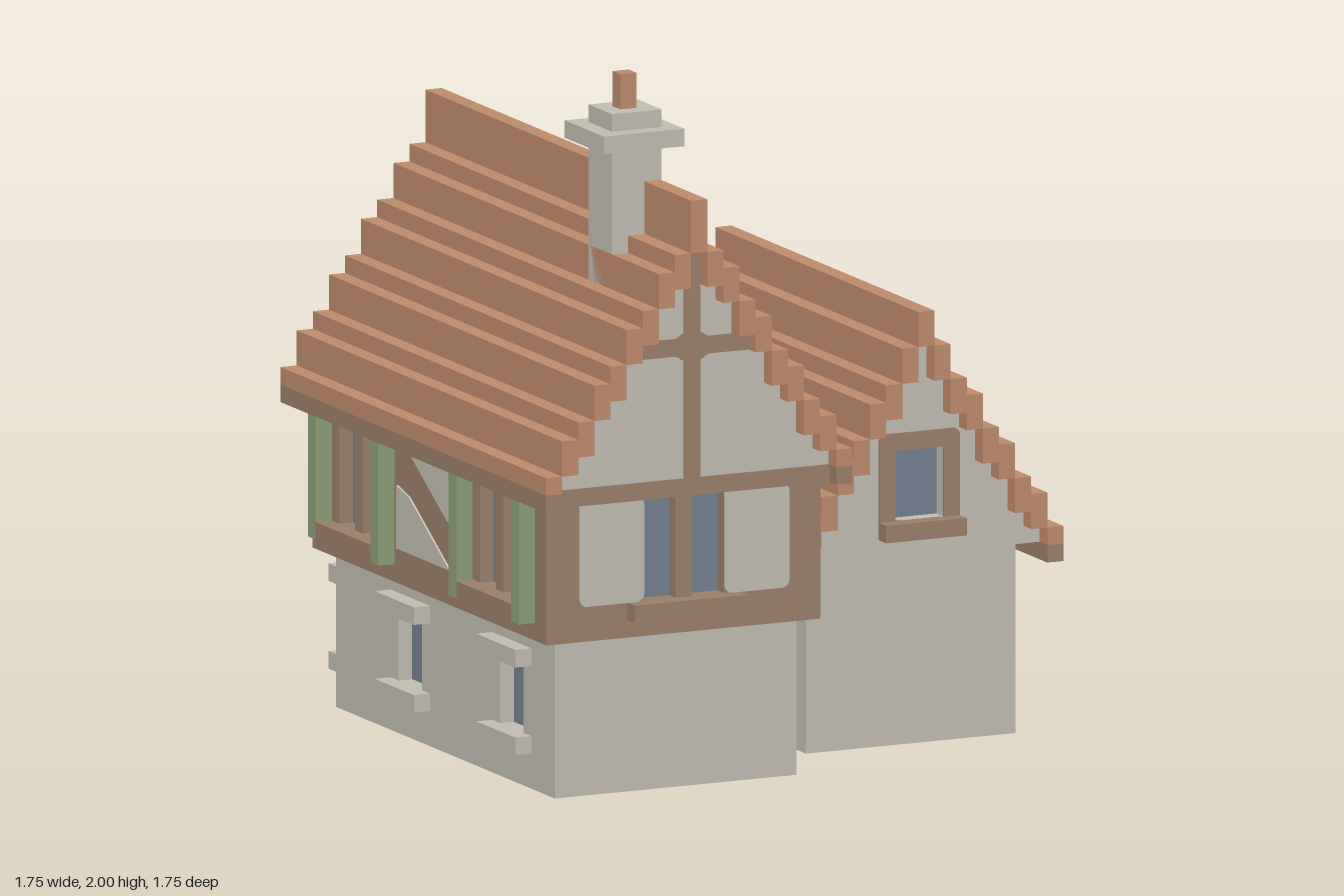
import * as THREE from 'three';

const mat = (name, color) => Object.assign(new THREE.MeshStandardMaterial({ color }), { name });
const plaster = mat('plaster', 0xc0bcb1);
const timber = mat('timber', 0x9a7e68);
const tile = mat('tile', 0xbd8a6b);
const glass = mat('glass', 0x737f8f);
const leaf = mat('leaf', 0x8b9d75);
const S = 0.05; // block size

function add(parent, name, geometry, material) {
  const m = new THREE.Mesh(geometry, material);
  m.name = name;
  parent.add(m);
  return m;
}

// box given by its extents
function box(parent, name, material, x0, x1, y0, y1, z0, z1) {
  const m = add(parent, name, new THREE.BoxGeometry(x1 - x0, y1 - y0, z1 - z0), material);
  m.position.set((x0 + x1) / 2, (y0 + y1) / 2, (z0 + z1) / 2);
  return m;
}

const poly = (pts) => new THREE.Shape(pts.map((p) => new THREE.Vector2(...p)));
const rect = (x0, x1, y0, y1) => poly([[x0, y0], [x1, y0], [x1, y1], [x0, y1]]);

// rectangle with rounded corners
function softRect(x0, x1, y0, y1, r = 0.022) {
  const s = new THREE.Shape();
  s.absarc(x1 - r, y0 + r, r, -Math.PI / 2, 0);
  s.absarc(x1 - r, y1 - r, r, 0, Math.PI / 2);
  s.absarc(x0 + r, y1 - r, r, Math.PI / 2, Math.PI);
  s.absarc(x0 + r, y0 + r, r, Math.PI, Math.PI * 1.5);
  return s;
}

function slab(parent, name, material, shape, depth, z, holes = []) {
  holes.forEach((h) => shape.holes.push(rect(...h)));
  const geo = new THREE.ExtrudeGeometry(shape, { depth, bevelEnabled: false, curveSegments: 4 });
  const m = add(parent, name, geo, material);
  m.position.z = z;
  return m;
}
const plate = (g, name, material, shape, holes) => slab(g, name, material, shape, 0.006, 0, holes);

// one side of a building: local +z points outwards, local z = 0 is the wall surface
function side(parent, name, rotY, x, z) {
  const g = new THREE.Group();
  g.name = name;
  g.position.set(x, 0, z);
  g.rotation.y = rotY;
  parent.add(g);
  return g;
}

// wall with recessed openings, each filled by a pane or door
function wall(g, material, shape, openings = []) {
  slab(g, 'wall', material, shape, S, -S, openings.map((o) => o.slice(0, 4)));
  for (const [x0, x1, y0, y1, fill = glass] of openings)
    box(g, fill === glass ? 'windowPane' : 'door', fill, x0, x1, y0, y1, -S, -S + 0.008);
}

const pair = (c, y0, y1) => [[c - 0.125, c - 0.025, y0, y1], [c + 0.025, c + 0.125, y0, y1]];
const sill = (g, c, half, y, m = timber) => box(g, 'sill', m, c - half, c + half, y, y + S, -0.01, S);

function shutters(g, c, inner, y0, y1) {
  for (const s of [-1, 1]) {
    const x = c + s * (inner + S / 2);
    box(g, 'shutter', leaf, x - S / 2, x + S / 2, y0, y1, -0.01, S);
  }
}

function stoneWindow(g, c) {
  sill(g, c, 0.125, 0.1, plaster);
  box(g, 'lintel', plaster, c - 0.125, c + 0.125, 0.35, 0.4, -0.01, S);
}

function doorway(g, c) {
  box(g, 'doorstep', plaster, c - 0.15, c + 0.15, 0, S, -0.01, S);
  box(g, 'lintel', plaster, c - 0.125, c + 0.125, 0.35, 0.4, -0.01, S);
  box(g, 'doorPane', glass, c - 0.04, c + 0.04, 0.22, 0.3, -S + 0.008, -S + 0.014);
}

// underside height of roof course i
const under = (tops, i) => (i === 0 ? tops[1] : tops[i] - 0.1);

function gableShape(tops, base) {
  const n = tops.length - 2;
  const pts = [[-(n + 0.5) * S, base]];
  for (let i = -n; i <= n; i++) {
    const y = under(tops, Math.abs(i));
    pts.push([(i - 0.5) * S, y], [(i + 0.5) * S, y]);
  }
  pts.push([(n + 0.5) * S, base]);
  return poly(pts);
}

// stepped roof courses with timber eaves
function roof(parent, name, tops, cx, z0, z1) {
  const g = new THREE.Group();
  g.name = name;
  parent.add(g);
  const n = tops.length - 1;
  for (let i = -n; i <= n; i++) {
    const k = Math.abs(i), x = cx + i * S;
    const low = k === n ? tops[k] - S : under(tops, k);
    box(g, 'roofCourse', tile, x - S / 2, x + S / 2, low, tops[k], z0, z1);
    if (k === n) box(g, 'eave', timber, x - S / 2, x + S / 2, low - S, low, z0, z1);
  }
}

function mainHouse(parent) {
  const g = new THREE.Group();
  g.name = 'mainHouse';
  parent.add(g);
  const cx = -0.4, cz = 0.025, Q = Math.PI / 2;

  // hollow stone ground floor
  box(g, 'groundCeiling', plaster, -0.775, -0.025, 0.44, 0.449, -0.675, 0.725);
  wall(side(g, 'groundFront', 0, cx, 0.725), plaster, rect(-0.375, 0.375, 0, 0.45));
  wall(side(g, 'groundRight', Q, -0.025, cz), plaster, rect(-0.65, 0.65, 0, 0.45));
  const gb = side(g, 'groundBack', Math.PI, cx, -0.675);
  wall(gb, plaster, rect(-0.375, 0.375, 0, 0.45),
    [[-0.15, 0.05, 0.05, 0.35, tile], [0.175, 0.325, 0.15, 0.35]]);
  doorway(gb, -0.05);
  stoneWindow(gb, 0.25);
  const gl = side(g, 'groundLeft', -Q, -0.775, cz);
  wall(gl, plaster, rect(-0.65, 0.65, 0, 0.45),
    [-0.225, 0.425].map((c) => [c - 0.075, c + 0.075, 0.15, 0.35]));
  [-0.225, 0.425].forEach((c) => stoneWindow(gl, c));

  // half-timbered upper floor
  box(g, 'upperCore', timber, -0.775, -0.025, 0.45, 0.85, -0.675, 0.725);
  const uf = side(g, 'upperFront', 0, cx, 0.775);
  wall(uf, timber, rect(-0.425, 0.425, 0.45, 0.85), pair(0, 0.55, 0.845));
  sill(uf, 0, 0.175, 0.5);
  plate(uf, 'plasterPanel', plaster, softRect(0.125, 0.325, 0.55, 0.85));
  plate(uf, 'plasterPanel', plaster, softRect(-0.325, -0.125, 0.55, 0.85));
  const ub = side(g, 'upperBack', Math.PI, cx, -0.725);
  wall(ub, timber, rect(-0.425, 0.425, 0.45, 0.85), pair(-0.05, 0.55, 0.845));
  sill(ub, -0.05, 0.175, 0.5);
  shutters(ub, -0.05, 0.125, 0.5, 0.85);
  plate(ub, 'plasterPanel', plaster, softRect(0.125, 0.325, 0.55, 0.85));
  plate(ub, 'plasterPanel', plaster, softRect(-0.325, -0.225, 0.55, 0.85));
  const ul = side(g, 'upperLeft', -Q, -0.825, cz);
  wall(ul, timber, rect(-0.7, 0.7, 0.45, 0.85), [...pair(-0.45, 0.55, 0.845), ...pair(0.45, 0.55, 0.845)]);
  for (const c of [-0.45, 0.45]) {
    sill(ul, c, 0.175, 0.5);
    shutters(ul, c, 0.175, 0.5, 0.85);
  }
  plate(ul, 'plasterPanel', plaster, poly([[-0.14, 0.85], [0.2, 0.85], [0.2, 0.67], [0.12, 0.69]]));
  plate(ul, 'plasterPanel', plaster, poly([[-0.2, 0.55], [0.14, 0.55], [-0.12, 0.71], [-0.2, 0.73]]));
  const ur = side(g, 'upperRight', Q, 0.025, cz);
  wall(ur, timber, rect(-0.7, 0.7, 0.45, 0.85));
  for (const s of [-1, 1]) {
    const [a, b] = [s * 0.65, s * 0.25].sort((p, q) => p - q);
    plate(ur, 'plasterPanel', plaster, softRect(a, b, 0.7, 0.85));
    plate(ur, 'plasterSpot', plaster, softRect(s * 0.625 - 0.025, s * 0.625 + 0.025, 0.605, 0.655, 0.02));
  }

  // gables with timber cross
  const tops = [1.7, 1.55, 1.5, 1.4, 1.35, 1.25, 1.2, 1.1, 1.05, 0.95];
  const attic = slab(g, 'attic', plaster, gableShape(tops, 0.85), 1.6, -0.775);
  attic.position.x = cx;
  for (const [rot, z] of [[0, 0.825], [Math.PI, -0.775]]) {
    const e = side(g, 'gable', rot, cx, z);
    plate(e, 'tieBeam', timber, rect(-0.425, 0.425, 0.85, 0.9));
    plate(e, 'kingPost', timber, rect(-0.025, 0.025, 0.9, 1.55));
    for (const s of [-1, 1])
      plate(e, 'collarBeam', timber, poly([[s * 0.025, 1.235], [s * 0.05, 1.25], [s * 0.2, 1.25],
        [s * 0.2, 1.3], [s * 0.05, 1.3], [s * 0.025, 1.315]]));
  }
  roof(g, 'mainRoof', tops, cx, -0.825, 0.875);

  // chimney, its shaft just covering the ridge
  box(g, 'chimneyShaft', plaster, -0.525, -0.371, 1.3, 1.9, 0.425, 0.575);
  box(g, 'chimneyCap', plaster, -0.575, -0.325, 1.8, 1.85, 0.375, 0.625);
  box(g, 'chimneyPot', tile, -0.475, -0.425, 1.9, 2, 0.475, 0.525);
}

function annex(parent) {
  const g = new THREE.Group();
  g.name = 'annex';
  parent.add(g);
  const cx = 0.45, Q = Math.PI / 2;

  // hollow ground floor
  wall(side(g, 'groundFront', 0, cx, 0.475), plaster, rect(-0.325, 0.325, 0, 0.55));
  wall(side(g, 'groundRight', Q, 0.775, -0.075), plaster, rect(-0.5, 0.5, 0, 0.55));
  wall(side(g, 'groundLeft', -Q, 0.125, -0.075), plaster, rect(-0.5, 0.5, 0, 0.55));
  const gb = side(g, 'groundBack', Math.PI, cx, -0.625);
  wall(gb, plaster, rect(-0.325, 0.325, 0, 0.55),
    [[0.025, 0.225, 0.05, 0.35, timber], [-0.225, -0.075, 0.15, 0.35]]);
  doorway(gb, 0.125);
  stoneWindow(gb, -0.15);
  // joist ends under the overhanging gable
  for (let i = -3; i <= 3; i++)
    box(gb, 'joistEnd', tile, i * 0.1 - 0.025, i * 0.1 + 0.025, 0.542, 0.551, 0, S);

  // gables with windows
  const tops = [1.25, 1.15, 1.05, 1, 0.9, 0.85, 0.75, 0.7, 0.6];
  const shape = () => gableShape(tops, 0.55);
  slab(g, 'attic', plaster, shape(), 1.1, -0.625).position.x = cx;
  const f = side(g, 'gableFront', 0, cx, 0.525);
  const opening = [-0.075, 0.075, 0.65, 0.85];
  wall(f, plaster, shape(), [opening]);
  plate(f, 'windowFrame', timber, softRect(-0.125, 0.125, 0.6, 0.9, 0.02), [opening]);
  sill(f, 0, 0.125, 0.6);
  const b = side(g, 'gableBack', Math.PI, cx, -0.675);
  wall(b, plaster, shape(), pair(0, 0.6, 0.85));
  plate(b, 'windowFrame', timber, rect(-0.175, 0.175, 0.555, 0.9), pair(0, 0.6, 0.85));
  sill(b, 0, 0.175, 0.555);
  shutters(b, 0, 0.175, 0.555, 0.9);
  roof(g, 'annexRoof', tops, cx, -0.725, 0.575);
}

// low planting behind the annex: x range, z range, top
function garden(parent) {
  const g = new THREE.Group();
  g.name = 'garden';
  parent.add(g);
  const beds = [
    [0.175, 0.475, -0.875, -0.825, 0.05], [0.175, 0.225, -0.825, -0.775, 0.05],
    [0.275, 0.375, -0.825, -0.775, 0.05], [0.175, 0.325, -0.775, -0.725, 0.05],
    [0.425, 0.575, -0.825, -0.775, 0.05], [0.525, 0.725, -0.875, -0.825, 0.05],
    [0.625, 0.725, -0.825, -0.725, 0.05], [0.625, 0.675, -0.825, -0.725, 0.1],
  ];
  for (const [x0, x1, z0, z1, y] of beds) box(g, 'plant', leaf, x0, x1, 0, y, z0, z1);
  box(g, 'flowerPot', tile, 0.375, 0.425, 0, 0.1, -0.825, -0.775);
  box(g, 'flowerPot', tile, 0.425, 0.475, 0.05, 0.1, -0.875, -0.825);
  box(g, 'flowerPot', tile, 0.575, 0.625, 0, 0.1, -0.825, -0.775);
}

export function createModel() {
  const model = new THREE.Group();
  model.name = 'cottage';
  mainHouse(model);
  annex(model);
  garden(model);
  return model;
}
